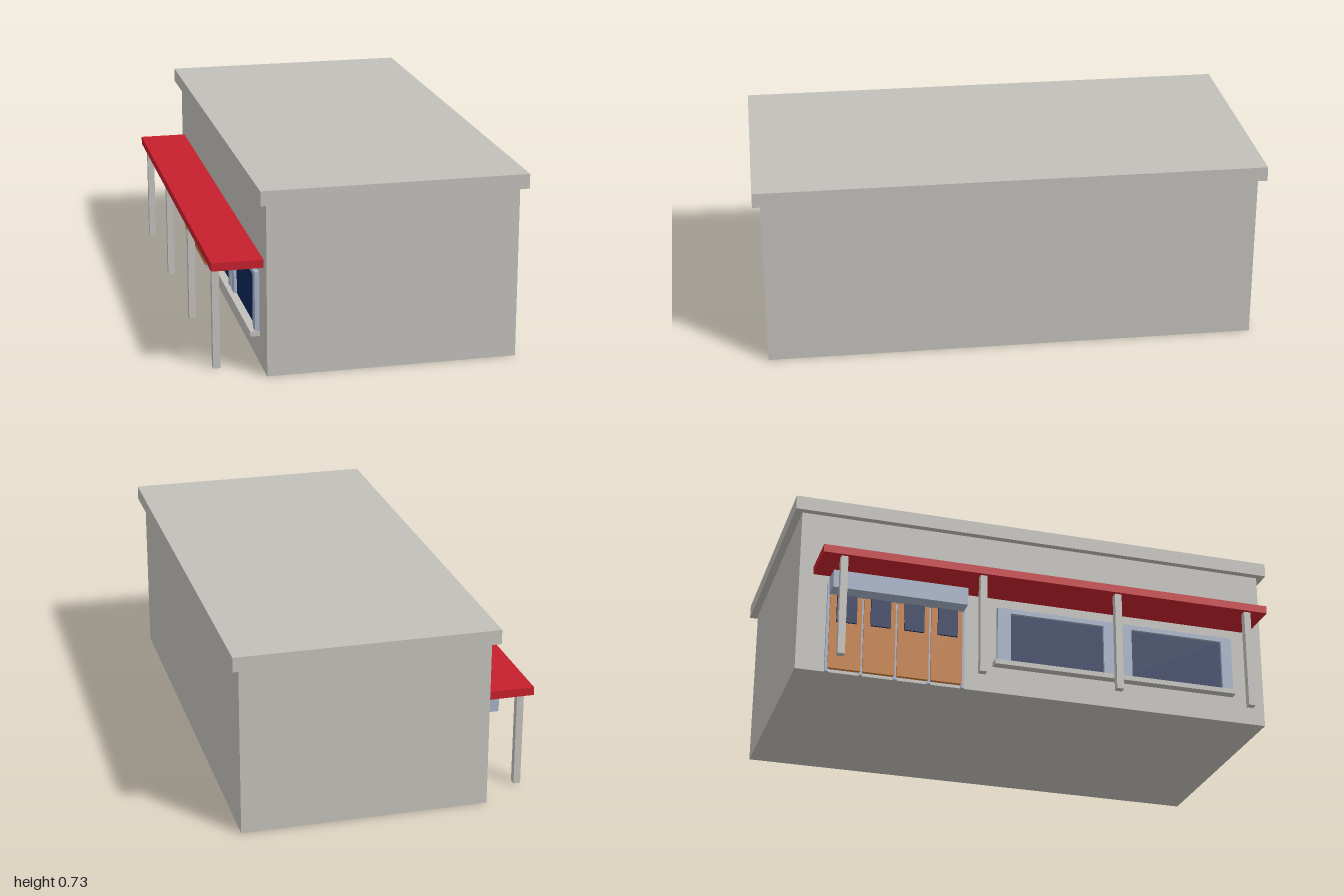
import * as THREE from 'three';

const mat = (name, color) => {
  const m = new THREE.MeshStandardMaterial({ color });
  m.name = name;
  return m;
};

export function createModel() {
  const concrete = mat('concrete grey', 0xc1bfba);
  const red = mat('canopy red', 0xc4202c);
  const wood = mat('door brown', 0xc47b38);
  const metal = mat('frame blue grey', 0xa3b0c5);
  const glass = mat('navy glass', 0x0c2656);

  const model = new THREE.Group();
  model.name = 'shopBuilding';

  // Box given by its minimum and maximum on each axis
  const box = (parent, name, material, [x0, x1], [y0, y1], [z0, z1]) => {
    const mesh = new THREE.Mesh(new THREE.BoxGeometry(x1 - x0, y1 - y0, z1 - z0), material);
    mesh.position.set((x0 + x1) / 2, (y0 + y1) / 2, (z0 + z1) / 2);
    mesh.name = name;
    parent.add(mesh);
  };
  const group = (name) => {
    const g = new THREE.Group();
    g.name = name;
    model.add(g);
    return g;
  };
  const WALL = -0.4;

  // Main block and overhanging flat roof
  box(model, 'walls', concrete, [WALL, 0.57], [0, 0.675], [-0.97, 0.97]);
  box(model, 'roof', concrete, [-0.427, 0.597], [0.675, 0.732], [-1, 1]);

  // Canopy along the shop side, carried by four posts
  box(model, 'canopy', red, [-0.597, WALL], [0.41, 0.442], [-0.915, 0.915]);
  for (let i = 0; i < 4; i++) {
    const z = -0.83 + i * 0.555;
    box(model, 'post', concrete, [-0.584, -0.556], [0, 0.41], [z - 0.014, z + 0.014]);
  }

  // Entrance: four door leaves between slim mullions, with a header box
  const entrance = group('entrance');
  const start = -0.85, pitch = 0.135;
  for (let i = 0; i < 4; i++) {
    const z = start + i * pitch;
    box(entrance, 'doorLeaf', wood, [-0.415, WALL], [0.013, 0.345], [z + 0.004, z + pitch - 0.004]);
    box(entrance, 'doorGlass', glass, [-0.422, -0.414], [0.21, 0.325], [z + 0.03, z + pitch - 0.025]);
  }
  for (let i = 0; i <= 4; i++) {
    const z = start + i * pitch;
    box(entrance, 'doorMullion', metal, [-0.409, WALL], [0, 0.375], [z - 0.007, z + 0.007]);
  }
  box(entrance, 'doorHeader', metal, [-0.48, WALL], [0.326, 0.4], [start, start + 4 * pitch]);

  // Two shop windows with frames and projecting sills
  for (const z of [-0.18, 0.33]) {
    const w = group('shopWindow');
    const end = z + 0.5;
    box(w, 'windowGlass', glass, [-0.406, WALL], [0.13, 0.36], [z + 0.02, end - 0.02]);
    box(w, 'leftFrame', metal, [-0.418, WALL], [0.13, 0.365], [z + 0.01, z + 0.065]);
    box(w, 'rightFrame', metal, [-0.418, WALL], [0.13, 0.365], [end - 0.045, end]);
    box(w, 'topFrame', metal, [-0.418, WALL], [0.345, 0.365], [z + 0.065, end - 0.045]);
    box(w, 'sill', concrete, [-0.437, WALL], [0.11, 0.13], [z - 0.005, end + 0.002]);
  }

  return model;
}
